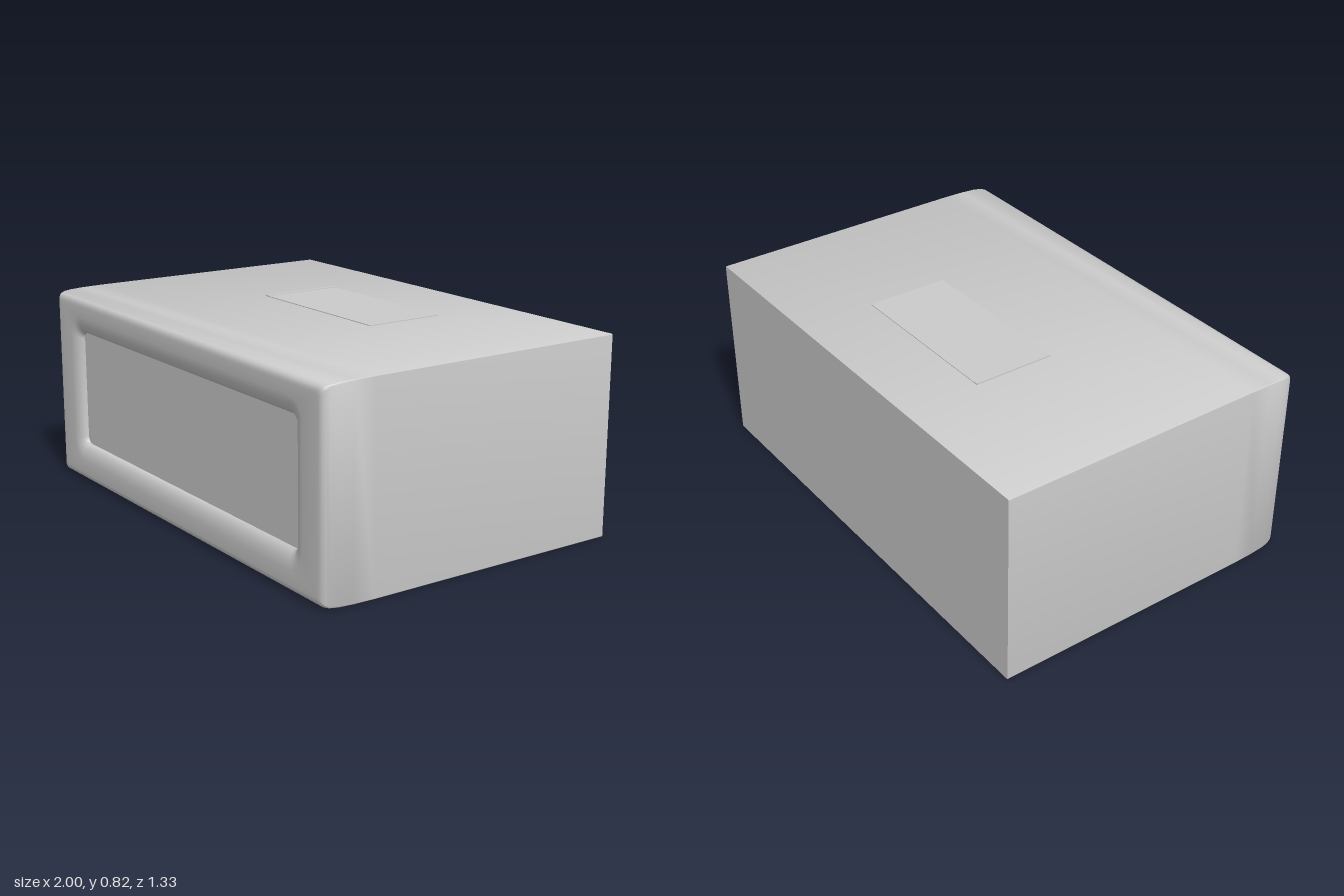
import * as THREE from 'three';
import { toCreasedNormals } from 'three/addons/utils/BufferGeometryUtils.js';

const CORNER = 6; // points per rounded corner
const TOP = 0.811;
const material = new THREE.MeshStandardMaterial({ color: 0xcccccc });

// Rounded rectangle in x/y, counter-clockwise seen from the front
function ring(halfW, halfH, cy, r, z) {
  const points = [];
  [[1, 1], [-1, 1], [-1, -1], [1, -1]].forEach(([sx, sy], c) => {
    for (let i = 0; i < CORNER; i++) {
      const a = (c + i / (CORNER - 1)) * Math.PI / 2;
      points.push(new THREE.Vector3(
        sx * (halfW - r) + r * Math.cos(a), cy + sy * (halfH - r) + r * Math.sin(a), z));
    }
  });
  return points;
}

// Skin through a series of rings, running from back to front
function loft(rings) {
  const n = rings[0].length, index = [];
  for (let k = 0; k < rings.length - 1; k++) {
    for (let i = 0; i < n; i++) {
      const a = k * n + i, b = k * n + (i + 1) % n;
      index.push(a, b, b + n, a, b + n, a + n);
    }
  }
  const geometry = new THREE.BufferGeometry().setFromPoints(rings.flat());
  geometry.setIndex(index);
  return toCreasedNormals(geometry, 0.7);
}

// Flat face filling a ring
function cap(points, facingBack) {
  const geometry = new THREE.ShapeGeometry(new THREE.Shape(points.map(p => new THREE.Vector2(p.x, p.y))));
  if (facingBack) geometry.rotateY(Math.PI); // outline is symmetric in x
  return geometry.translate(0, 0, points[0].z);
}

export function createModel() {
  const group = new THREE.Group();
  const add = (name, geometry, x = 0, y = 0, z = 0) => {
    const mesh = new THREE.Mesh(geometry, material);
    mesh.name = name;
    mesh.position.set(x, y, z);
    group.add(mesh);
  };

  // Housing: inset, z, corner radius; the front edges ease inwards
  const outer = [
    [0, -0.667, 0.003], [0, 0.45, 0.003], [0.001, 0.54, 0.004], [0.003, 0.6, 0.006],
    [0.006, 0.635, 0.01], [0.011, 0.653, 0.014], [0.018, 0.662, 0.018],
    [0.027, 0.666, 0.022], [0.037, 0.667, 0.026],
  ].map(([inset, z, r]) => ring(1 - inset, TOP / 2 - inset, TOP / 2, r, z));

  // Rounded lip falling into the front recess: growth around the panel, z
  const lip = [
    [0.075, 0.667], [0.055, 0.665], [0.037, 0.661], [0.022, 0.655],
    [0.011, 0.648], [0.004, 0.64], [0, 0.632],
  ].map(([grow, z]) => ring(0.81 + grow * 0.8, 0.245 + grow, 0.41, 0.03 + grow * 0.7, z));

  add('housing', loft([...outer, ...lip]));
  add('backPanel', cap(outer[0], true));
  add('frontPanel', cap(lip[lip.length - 1], false));

  // Thin plate on top with a slim rib along one edge
  add('topPlate', new THREE.BoxGeometry(0.73, 0.004, 0.345), 0, TOP + 0.001, -0.1725);
  add('topPlateRib', new THREE.BoxGeometry(0.02, 0.005, 0.345), -0.355, TOP + 0.0025, -0.1725);

  return group;
}
